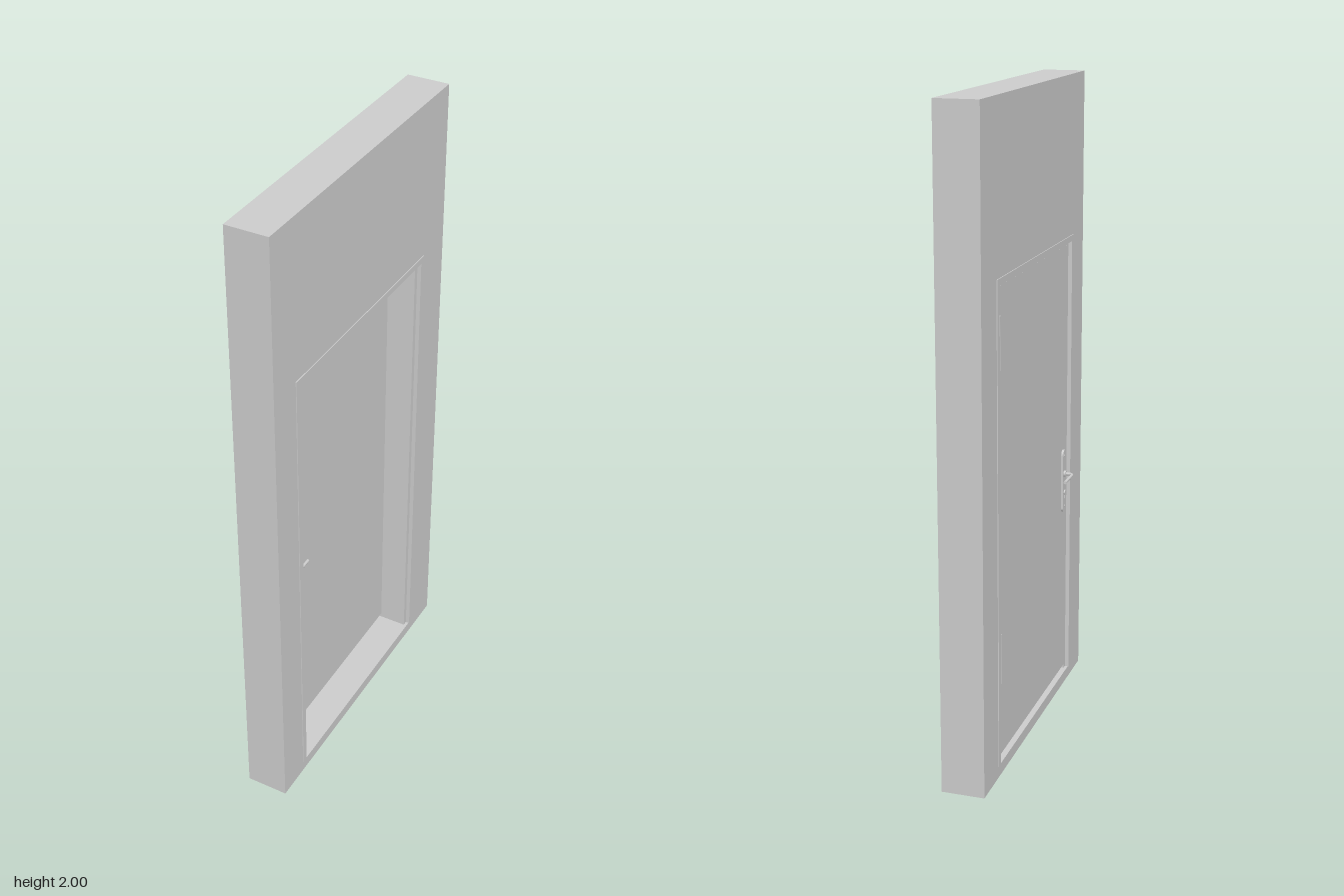
import * as THREE from 'three';

const material = new THREE.MeshStandardMaterial({ color: 0xcccccc, side: THREE.DoubleSide });

// Opening in the wall (a to b along z, bottom to top along y)
const OPEN = { a: -0.352, b: 0.368, bottom: 0.036, top: 1.486 };
const DOOR_OUT = -0.043, DOOR_IN = -0.02;

function add(parent, name, geometry) {
  const mesh = new THREE.Mesh(geometry, material);
  mesh.name = name;
  parent.add(mesh);
  return mesh;
}

function rect(T, z0, z1, y0, y1) {
  const s = new T();
  s.moveTo(z0, y0); s.lineTo(z1, y0); s.lineTo(z1, y1); s.lineTo(z0, y1); s.closePath();
  return s;
}

// Extrude a shape drawn in (z, y) between two x positions
function slab(shape, x0, x1, curveSegments = 12) {
  const g = new THREE.ExtrudeGeometry(shape, { depth: x1 - x0, bevelEnabled: false, curveSegments });
  g.rotateY(-Math.PI / 2);
  g.translate(x1, 0, 0);
  return g;
}

// Three-sided border (jambs and head), open at the floor
function border(inset, outset) {
  const { a, b, bottom, top } = OPEN;
  const ta = inset * 0.62, to = outset;
  const s = new THREE.Shape();
  s.moveTo(a - to, bottom); s.lineTo(a - to, top + to); s.lineTo(b + to, top + to);
  s.lineTo(b + to, bottom); s.lineTo(b - inset, bottom); s.lineTo(b - inset, top - ta);
  s.lineTo(a + inset, top - ta); s.lineTo(a + inset, bottom); s.closePath();
  return s;
}

// Upright stadium outline centred on z
function stadium(z, y0, y1, r) {
  const s = new THREE.Shape();
  s.absarc(z, y1 - r, r, 0, Math.PI, false);
  s.absarc(z, y0 + r, r, Math.PI, Math.PI * 2, false);
  s.closePath();
  return s;
}

// Handle set pointing toward -x from a door face at x = 0
function handleSet(name) {
  const set = new THREE.Group();
  set.name = name;
  const z = 0.321, y = 0.736;
  add(set, 'handlePlate', slab(stadium(z, 0.605, 0.815, 0.016), -0.007, 0.001));

  const collar = add(set, 'leverCollar', new THREE.CylinderGeometry(0.01, 0.01, 0.008, 24));
  collar.rotation.z = Math.PI / 2;
  collar.position.set(-0.01, y, z - 0.003);

  // Bent lever with a rounded corner
  const path = new THREE.CurvePath();
  const p = (x, dz) => new THREE.Vector3(x, y, z - 0.003 - dz);
  path.add(new THREE.LineCurve3(p(-0.005, 0), p(-0.022, 0)));
  path.add(new THREE.QuadraticBezierCurve3(p(-0.022, 0), p(-0.0355, 0), p(-0.0355, 0.014)));
  path.add(new THREE.LineCurve3(p(-0.0355, 0.014), p(-0.0355, 0.09)));
  add(set, 'lever', new THREE.TubeGeometry(path, 48, 0.005, 14));
  const end = add(set, 'leverEnd', new THREE.CircleGeometry(0.005, 14));
  end.position.copy(p(-0.0355, 0.09));

  // Lock cylinder: round barrel over a narrow body
  const barrel = add(set, 'lockBarrel', new THREE.CylinderGeometry(0.008, 0.008, 0.006, 20));
  barrel.rotation.z = Math.PI / 2;
  barrel.position.set(-0.008, 0.672, z);
  add(set, 'lockBody', slab(stadium(z, 0.648, 0.672, 0.004), -0.011, -0.005));

  // Fixing screws
  for (const sy of [0.795, 0.625]) {
    const screw = add(set, 'plateScrew', new THREE.CylinderGeometry(0.004, 0.004, 0.002, 12));
    screw.rotation.z = Math.PI / 2;
    screw.position.set(-0.0075, sy, z);
  }
  return set;
}

export function createModel() {
  const model = new THREE.Group();
  model.name = 'doorInWall';

  // Wall with the doorway cut through
  const wall = rect(THREE.Shape, -0.5, 0.5, 0, 2);
  wall.holes.push(rect(THREE.Path, OPEN.a, OPEN.b, OPEN.bottom, OPEN.top));
  add(model, 'wall', slab(wall, -0.053, 0.079));

  // Frame lining and thin architraves on both faces
  add(model, 'frameLining', slab(border(0.016, 0), DOOR_OUT, 0.069));
  add(model, 'outerArchitrave', slab(border(0, 0.019), -0.0555, -0.052));
  add(model, 'innerArchitrave', slab(border(0, 0.019), 0.078, 0.0815));

  // Door leaf, with a gap above the threshold
  add(model, 'doorLeaf', slab(rect(THREE.Shape, -0.336, 0.352, 0.05, 1.476), DOOR_OUT, DOOR_IN));

  // Handles on both faces
  const outer = handleSet('outerHandle');
  outer.position.x = DOOR_OUT;
  const inner = handleSet('innerHandle');
  inner.position.x = DOOR_IN;
  inner.scale.x = -1;
  model.add(outer, inner);

  // Hinges on the outer face
  for (const y of [0.37, 1.32]) {
    const hinge = add(model, 'hinge', new THREE.CylinderGeometry(0.007, 0.007, 0.155, 16));
    hinge.position.set(-0.047, y, -0.339);
  }
  return model;
}
